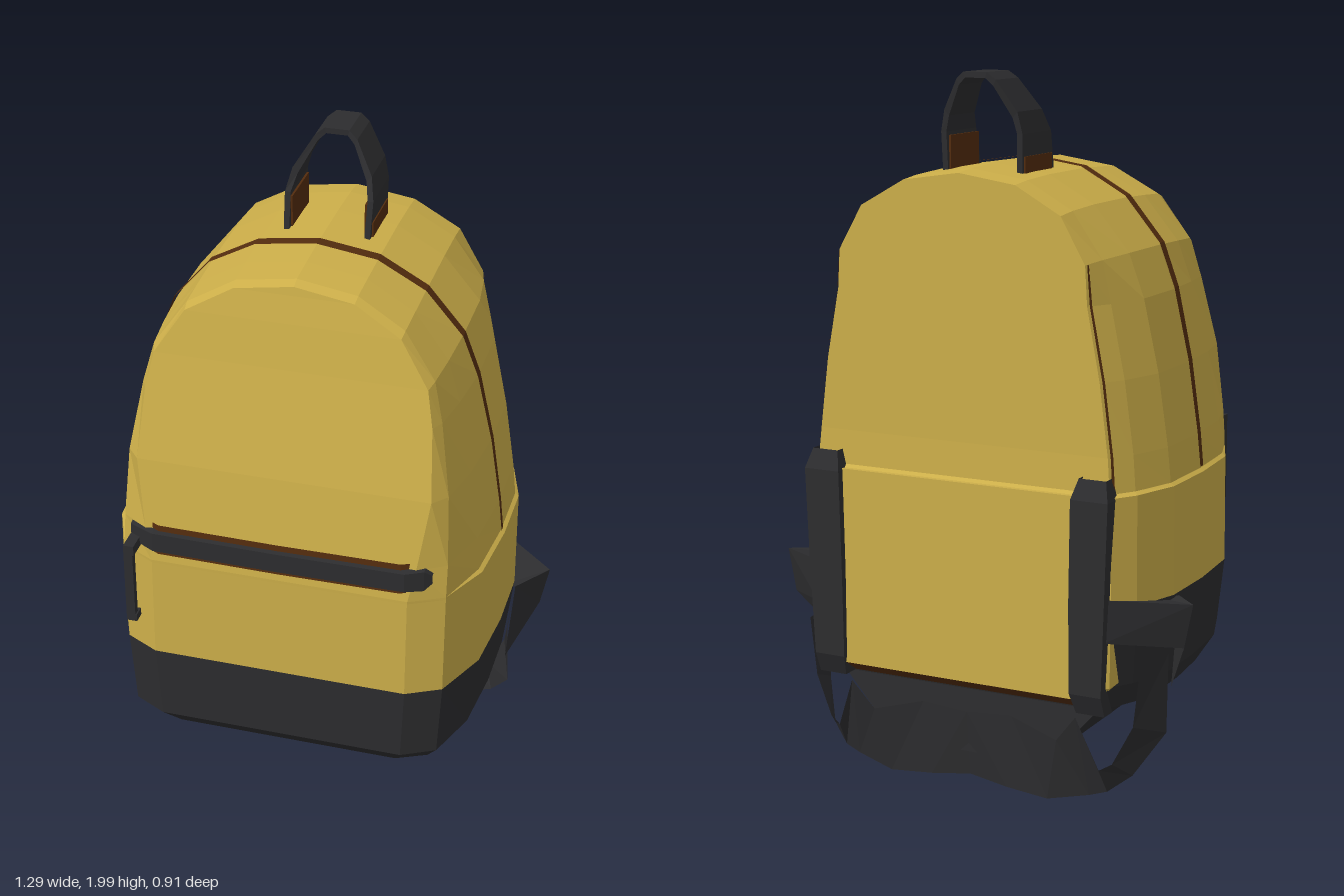
import * as THREE from 'three';

const yellow = new THREE.MeshStandardMaterial({ color: 0xccae49, side: THREE.DoubleSide });
yellow.name = 'mustard fabric';
const black = new THREE.MeshStandardMaterial({ color: 0x2d2d2f, side: THREE.DoubleSide });
black.name = 'charcoal trim';
const brown = new THREE.MeshStandardMaterial({ color: 0x532c0e, side: THREE.DoubleSide });
brown.name = 'brown lining';

// Faceted surface through rows of points
function loft(rows, closed = false) {
  const pos = [];
  for (let i = 0; i < rows.length - 1; i++) {
    const n = rows[i].length;
    for (let j = 0; j < (closed ? n : n - 1); j++) {
      const k = (j + 1) % n;
      const a = rows[i][j], b = rows[i][k], c = rows[i + 1][k], d = rows[i + 1][j];
      pos.push(...a, ...b, ...c, ...a, ...c, ...d);
    }
  }
  const g = new THREE.BufferGeometry();
  g.setAttribute('position', new THREE.Float32BufferAttribute(pos, 3));
  g.computeVertexNormals();
  return g;
}

// Body profile: height, half width, front z, back z
const PROFILE = [
  [0.285, 0.48, 0.34, -0.36], [0.36, 0.525, 0.41, -0.38], [0.59, 0.553, 0.42, -0.415],
  [0.895, 0.551, 0.415, -0.415], [0.903, 0.54, 0.415, -0.405], [1.0, 0.53, 0.40, -0.4],
  [1.2, 0.50, 0.365, -0.4], [1.4, 0.455, 0.315, -0.4], [1.52, 0.41, 0.29, -0.4],
  [1.645, 0.305, 0.262, -0.4], [1.72, 0.17, 0.243, -0.4], [1.745, 0, 0.238, -0.4],
];
const DROP = [0.012, 0.005, 0, 0, 0.005, 0.01, 0.02];
const STATIONS = DROP.length;

// Point of the body at station s (0 = back, 6 = front) on one side
function bodyPoint(s, [y, w, zf, zb], side) {
  const u = THREE.MathUtils.clamp((y - 0.9) / 0.4, 0, 1);
  const v = THREE.MathUtils.clamp((y - 1.4) / 0.25, 0, 1);
  const [z, k] = [
    [zb, 0.84 + 0.16 * v], [zb + 0.07, 0.92 + 0.08 * v], [-0.2, 1], [0, 1], [zf * 0.5, 0.965 + 0.03 * v],
    [zf * 0.88, 0.86 + 0.06 * u + 0.07 * v], [zf, 0.68 + 0.2 * u + 0.1 * v],
  ][s];
  const width = s > 4 ? Math.min(w, 0.54) : w;
  return [side * width * k, y > 1.5 ? y - DROP[s] : y, z];
}

export function createModel() {
  const model = new THREE.Group();
  const add = (name, geometry, material) => {
    const m = new THREE.Mesh(geometry, material);
    m.name = name;
    model.add(m);
    return m;
  };
  const box = (name, mat, w, h, d, x, y, z) =>
    add(name, new THREE.BoxGeometry(w, h, d), mat).position.set(x, y, z);
  const stations = [...Array(STATIONS).keys()];
  const loop = (list, s) => [
    ...list.map(p => bodyPoint(s, p, 1)),
    ...list.slice(0, -1).reverse().map(p => bodyPoint(s, p, -1)),
  ];
  const cap = (list, s, dir) =>
    loft(list.map(p => [bodyPoint(s, p, -dir), bodyPoint(s, p, dir)]));

  // Fabric shell and its front and back panels
  const upper = PROFILE.slice(2), base = PROFILE.slice(0, 3);
  add('fabricShell', loft(stations.map(s => loop(upper, s))), yellow);
  add('frontPanel', cap(upper, STATIONS - 1, 1), yellow);
  add('backPanel', cap(upper, 0, -1), yellow);

  // Lower back pad with a lining sloping under its lower edge
  add('backPad', loft([[0.33, 0.42], [0.37, 0.46], [0.895, 0.465]].map(([y, w]) => [
    [-w, y, -0.35], [-w, y, -0.41], [-w + 0.03, y, -0.43],
    [w - 0.03, y, -0.43], [w, y, -0.41], [w, y, -0.35],
  ])), yellow);
  add('backPadTop', loft([-0.395, -0.43].map(z => [[-0.45, 0.895, z], [0.45, 0.895, z]])), yellow);
  add('backPadLining', loft([[0.29, -0.365], [0.33, -0.43]].map(([y, z]) =>
    [[0.39, y, z], [-0.39, y, z]])), brown);

  // Dark base: sides, front, back and an underside sagging toward the back
  for (const side of [1, -1]) {
    const order = side > 0 ? base : [...base].reverse();
    add('baseSide', loft(stations.map(s => order.map(p => bodyPoint(s, p, side)))), black);
  }
  const sag = [[0.24, 0.1], [0.27, 0.14], [0.31, 0.215], [0.34, 0.245],
    [0.34, 0.265], [0.33, 0.28], [0.28, 0.285]];
  const bottom = sag.map(([x, y], s) => {
    const left = bodyPoint(s, base[0], -1), right = bodyPoint(s, base[0], 1);
    return [left, [-x, y, left[2]], [x, y, left[2]], right];
  });
  add('underside', loft(bottom), black);
  add('baseFront', cap(base, STATIONS - 1, 1), black);
  add('baseBack', cap(base, 0, -1), black);
  const [b0, b1, b2, b3] = bottom[0];
  add('sagBack', loft([[b1, b2], [b0, b3]]), black);

  // Main opening seam over the arch, wider toward the top
  const arch = loop(PROFILE.slice(4), 3);
  add('mainSeam', loft([0, 1].map(front => arch.map(([x, y]) =>
    [x * 1.008, y + 0.006, front ? 0.014 + 0.018 * (y - 0.9) : -0.006]))), brown);

  // Front pocket seam, zip and puller
  const across = [[-0.435, 0.375], [-0.36, 0.413], [0, 0.417], [0.36, 0.413], [0.41, 0.39], [0.43, 0.375]];
  add('pocketSeam', loft([0.93, 1.018].map(y =>
    across.map(([x, z]) => [x * 0.96, y, z + (y > 1 ? -0.005 : 0.006)]))), brown);
  const zipHalf = [0.03, 0.034, 0.034, 0.034, 0.036, 0.018];
  add('pocketZip', loft(across.map(([x, z], i) => [
    [x, 0.97 - zipHalf[i], z - 0.03], [x, 0.975 - zipHalf[i], z + 0.012],
    [x, 0.965 + zipHalf[i], z + 0.012], [x, 0.97 + zipHalf[i], z - 0.03],
  ]), true), black);
  box('pullerTop', black, 0.03, 0.03, 0.07, -0.42, 0.95, 0.42);
  box('pullerBar', black, 0.026, 0.25, 0.02, -0.422, 0.84, 0.445);
  box('pullerTip', black, 0.03, 0.022, 0.035, -0.42, 0.722, 0.437);

  // Carry handle: x, y, front z, back z along the arc
  const half = [[0.122, 1.715, -0.075, -0.265], [0.125, 1.83, -0.1, -0.27],
    [0.112, 1.89, -0.13, -0.275], [0.06, 1.975, -0.17, -0.3], [0.035, 1.995, -0.18, -0.305]];
  const arc = [...half, ...[...half].reverse().map(([x, ...r]) => [-x, ...r])];
  add('carryHandle', loft(arc.map(([x, y, f, b]) => {
    const xi = x * 0.87, yi = y - (y > 1.85 ? 0.016 : 0);
    return [[x, y, f], [x, y, b], [xi, yi, b], [xi, yi, f]];
  }), true), black);

  for (const side of [1, -1]) {
    const flip = rows => rows.map(r => r.map(([x, y, z]) => [x * side, y, z]));
    // Lining at the handle foot, taller on the inner face
    for (const [x, h] of [[0.105, 0.1], [0.124, 0.05]])
      box('handleLining', brown, 0.006, h, 0.16, side * x, 1.72 + h / 2, -0.177);

    // Piping down the edge of the upper back
    const edge = PROFILE.slice(4, 9);
    add('backPiping', loft(edge.map(p => {
      const [x, y, z] = bodyPoint(0, p, side);
      const [x1, , z1] = bodyPoint(1, p, side);
      return [0.1, 0.2].map(t => [x + (x1 - x) * t + side * 0.002, y, z + (z1 - z) * t - 0.002]);
    })), brown);

    // Shoulder strap lying on the back
    add('shoulderStrap', loft(flip([
      [0.375, 0.455, 0.945, -0.39, -0.43], [0.36, 0.47, 0.89, -0.39, -0.452],
      [0.355, 0.46, 0.6, -0.40, -0.45], [0.355, 0.45, 0.35, -0.40, -0.445],
      [0.365, 0.45, 0.29, -0.37, -0.42],
    ].map(([a, b, y, f, k]) => [[a, y, f], [b, y, f], [b, y, k], [a, y, k]])), true), black);

    // Side wing where the strap is anchored
    add('strapWing', loft(flip([
      [[0.5, 0.57, -0.18], [0.56, 0.585, -0.18], [0.54, 0.32, -0.18]],
      [[0.48, 0.59, -0.28], [0.645, 0.595, -0.28], [0.62, 0.47, -0.28]],
      [[0.41, 0.61, -0.4], [0.45, 0.62, -0.43], [0.45, 0.5, -0.43]],
    ])), black);

    // Lower strap loop hanging from the base corner
    add('lowerStrap', loft(flip([
      [[0.54, 0.42, -0.2], [0.525, 0.42, -0.355]],
      [[0.545, 0.2, -0.22], [0.505, 0.25, -0.355]],
      [[0.48, 0.09, -0.3], [0.45, 0.14, -0.37]],
      [[0.42, 0.045, -0.335], [0.415, 0.12, -0.38]],
      [[0.37, 0.03, -0.345], [0.355, 0.27, -0.405]],
      [[0.25, 0.005, -0.365], [0.29, 0.19, -0.39]],
      [[0.12, 0.015, -0.36], [0.14, 0.23, -0.37]],
      [[0, 0.03, -0.35], [0, 0.22, -0.37]],
    ])), black);
  }
  return model;
}
